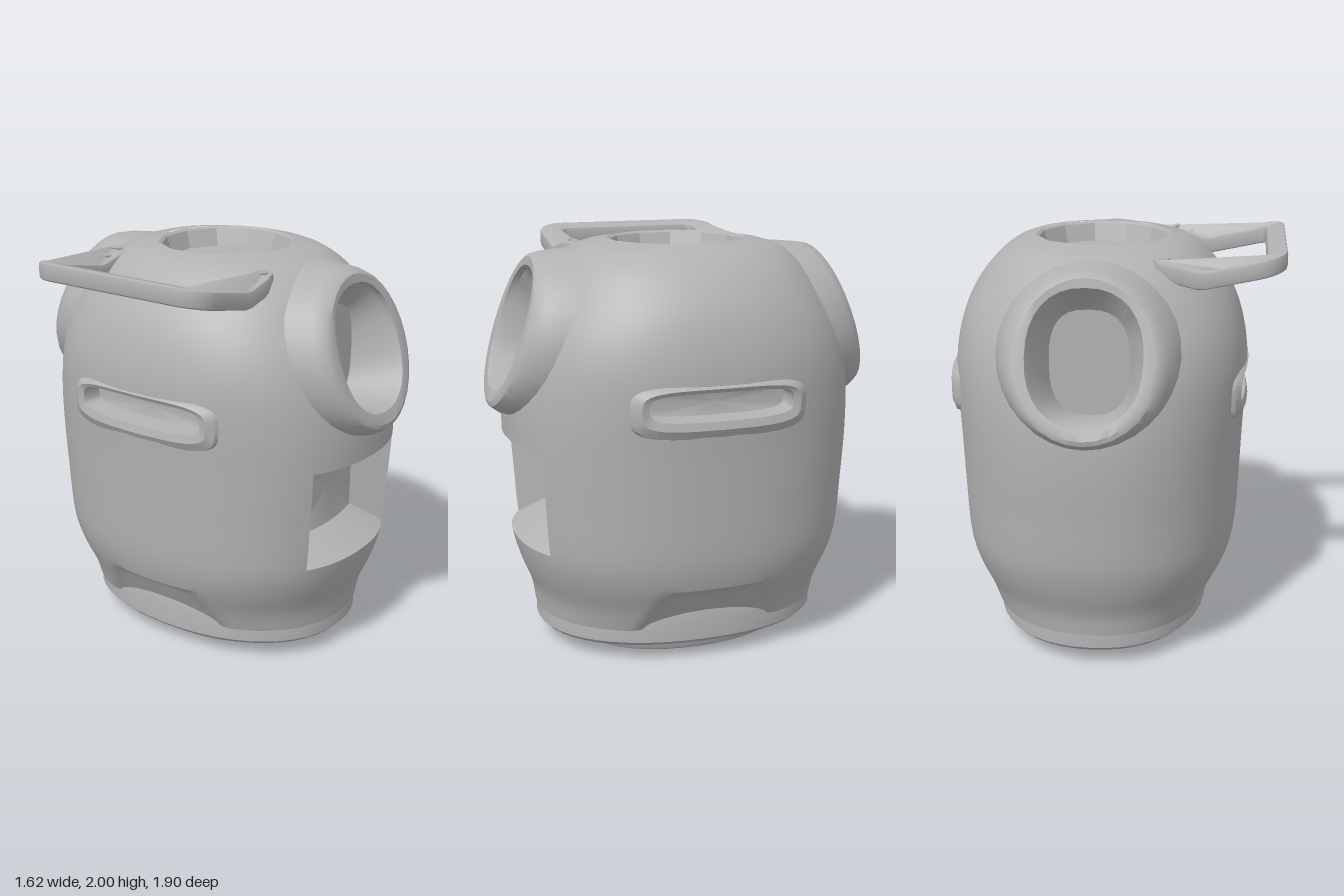
import * as THREE from 'three';
import { toCreasedNormals } from 'three/addons/utils/BufferGeometryUtils.js';

const SEG = 112, WIN = 9; // body segments, half width of the window in segments
const CX = 0.075; // the body sits slightly to the left of the handle side

// Skin closed rings of points; skip() leaves openings, cap closes the last ring.
function loft(rings, { cap = false, skip = null, crease = 0.6 } = {}) {
  const n = rings[0].length, pos = [], index = [];
  rings.forEach(r => r.forEach(p => pos.push(p.x, p.y, p.z)));
  const mid = new THREE.Vector3();
  for (let j = 0; j < rings.length - 1; j++) {
    for (let i = 0; i < n; i++) {
      const k = (i + 1) % n, a = j * n + i, b = j * n + k;
      mid.copy(rings[j][i]).add(rings[j][k]).add(rings[j + 1][i]).add(rings[j + 1][k]).divideScalar(4);
      if (skip && skip(mid, i)) continue;
      index.push(a, b, b + n, a, b + n, a + n);
    }
  }
  if (cap) {
    const last = rings[rings.length - 1], c = new THREE.Vector3(), base = (rings.length - 1) * n;
    last.forEach(p => c.add(p));
    c.divideScalar(n);
    pos.push(c.x, c.y, c.z);
    for (let i = 0; i < n; i++) index.push(base + i, base + (i + 1) % n, rings.length * n);
  }
  const g = new THREE.BufferGeometry();
  g.setAttribute('position', new THREE.Float32BufferAttribute(pos, 3));
  g.setIndex(index);
  return toCreasedNormals(g, crease);
}

// Superellipse coordinates
const power = (v, n) => Math.sign(v) * Math.pow(Math.abs(v), 2 / n);
function oval(count, hx, hy, n, place) {
  return Array.from({ length: count }, (_, i) => {
    const t = i / count * Math.PI * 2;
    return place(hx * power(Math.cos(t), n), hy * power(Math.sin(t), n));
  });
}

// Body profile: height, half width, half depth, roundness, rows up to the next key
const KEYS = [
  [0.17, 0.555, 0.725, 2.2, 3], [0.27, 0.595, 0.74, 2.2, 4], [0.4, 0.65, 0.79, 2.25, 3],
  [0.5, 0.675, 0.82, 2.3, 1], [0.55, 0.682, 0.83, 2.3, 8], [0.8, 0.695, 0.85, 2.3, 8],
  [1.06, 0.705, 0.865, 2.3, 6], [1.25, 0.715, 0.86, 2.3, 6], [1.45, 0.715, 0.83, 2.3, 5],
  [1.6, 0.688, 0.78, 2.3, 4], [1.72, 0.645, 0.72, 2.25, 4], [1.82, 0.585, 0.66, 2.2, 4],
  [1.9, 0.515, 0.59, 2.2, 3], [1.95, 0.455, 0.525, 2.1, 2], [1.98, 0.395, 0.44, 2.1, 1],
  [1.993, 0.335, 0.345, 2, 1],
];
const profile = new THREE.CubicInterpolant(KEYS.map(k => k[0]), KEYS.flatMap(k => k.slice(1, 4)), 3);
const rows = KEYS.flatMap((k, j) => Array.from({ length: k[4] }, (_, s) => {
  const top = KEYS[Math.min(j + 1, KEYS.length - 1)][0];
  const y = THREE.MathUtils.lerp(k[0], top, s / k[4]);
  return [y, ...profile.evaluate(y)];
}));

function bodyPoint(i, [y, rx, rz, n]) {
  const t = i / SEG * Math.PI * 2;
  let x = rx * power(Math.sin(t), n);
  const z = rz * power(Math.cos(t), n);
  if (y < 0.4) { // arched notches at the foot of both sides
    const s = THREE.MathUtils.smoothstep(0.27 + 0.5 * (0.4 - y) - Math.abs(z), 0, 0.08);
    const inner = Math.min(Math.abs(x), 0.5 + 0.55 * (y - 0.2));
    x = Math.sign(x) * THREE.MathUtils.lerp(Math.abs(x), inner, s);
  }
  return new THREE.Vector3(x, y, z);
}

function bodyGeometry() {
  const rings = [[0.17, 0.47, 0.64, 2.2], ...rows].map(r =>
    Array.from({ length: SEG }, (_, i) => bodyPoint(i, r)));
  return loft(rings, {
    skip: (p, i) => {
      const inWindow = (i < WIN || i >= SEG - WIN) && p.y > 0.55 && p.y < 1.06;
      const inPort = Math.hypot(p.x / 0.32, (p.y - 1.575) / 0.33) < 1 && Math.abs(p.z) > 0.3;
      const inSlot = Math.abs(p.z) < 0.36 && Math.abs(p.y - 1.305) < 0.08;
      return inWindow || inPort || inSlot;
    },
  });
}

// Rectangular pocket whose mouth follows the body
function windowGeometry() {
  const span = rows.filter(r => r[0] > 0.549 && r[0] < 1.061);
  const low = span[0], high = span[span.length - 1], cells = [];
  for (let i = -WIN; i < WIN; i++) cells.push([i, low]);
  for (let j = 0; j < span.length - 1; j++) cells.push([WIN, span[j]]);
  for (let i = WIN; i > -WIN; i--) cells.push([i, high]);
  for (let j = span.length - 1; j > 0; j--) cells.push([-WIN, span[j]]);
  const mouth = cells.map(([i, r]) => bodyPoint(i, r));
  const floor = cells.map(([i, r]) => new THREE.Vector3(
    0.245 * i / WIN, THREE.MathUtils.mapLinear(r[0], 0.55, 1.06, 0.65, 1.02), 0.64 - 0.03 * (i / WIN) ** 2));
  return loft([mouth, floor], { cap: true, crease: 0.4 });
}

// Flared oval port with a tilted rim and a closed floor
function portGeometry() {
  const ring = (hx, hy, cy, offset, n = 2) => oval(32, hx, hy, n, (x, y) =>
    new THREE.Vector3(x, cy + y, 0.95 - (cy + y - 1.24) * 0.33 + offset));
  return loft([
    ring(0.46, 0.42, 1.55, -0.3), ring(0.42, 0.4, 1.56, -0.16), ring(0.385, 0.38, 1.57, -0.06),
    ring(0.345, 0.36, 1.58, -0.012), ring(0.315, 0.342, 1.585, 0), ring(0.265, 0.295, 1.59, -0.006, 2.3),
    ring(0.25, 0.28, 1.59, -0.04, 2.7),
    oval(32, 0.187, 0.25, 2.7, (x, y) => new THREE.Vector3(x, 1.51 + y, 0.62)),
  ], { cap: true });
}

// Long side slot with a low raised lip
function slotGeometry(reach) {
  const ring = (hx, hy, cy, offset) => oval(40, hx, hy, 4, (x, y) =>
    new THREE.Vector3(x, cy + y, reach + offset - 0.2 * x * x));
  return loft([
    ring(0.45, 0.15, 1.285, -0.1), ring(0.42, 0.125, 1.285, -0.02), ring(0.385, 0.095, 1.295, 0),
    ring(0.35, 0.067, 1.305, -0.01), ring(0.34, 0.058, 1.305, -0.11),
  ], { cap: true });
}

// Stepped base, built downwards, with a rectangular recess underneath
function baseGeometry() {
  const ring = (y, rx, rz, n = 2.2) => oval(48, rx, rz, n, (x, z) => new THREE.Vector3(x, y, z));
  return loft([
    ring(0.29, 0.43, 0.6), ring(0.25, 0.525, 0.71), ring(0.2, 0.535, 0.72), ring(0.1, 0.535, 0.72),
    ring(0.08, 0.515, 0.7), ring(0.075, 0.44, 0.57), ring(0.05, 0.44, 0.56), ring(0.015, 0.425, 0.54),
    ring(0, 0.4, 0.51), ring(0.005, 0.28, 0.36, 5), ring(0.13, 0.25, 0.33, 5),
  ], { cap: true });
}

// Twelve-sided recess in the lid
function topRecessGeometry() {
  const ring = (y, r) => Array.from({ length: 12 }, (_, i) => {
    const t = (i + 0.5) / 12 * Math.PI * 2;
    return new THREE.Vector3(r * Math.sin(t), y, r * Math.cos(t));
  });
  return loft([ring(1.985, 0.37), ring(1.995, 0.335), ring(1.985, 0.32), ring(1.9, 0.29)], { cap: true, crease: 0.3 });
}

// Height of the handle's middle: it dips over the shoulder and rises outwards
const handleY = x => x > -0.42
  ? THREE.MathUtils.mapLinear(x, -0.42, -0.2, 1.868, 1.92)
  : THREE.MathUtils.mapLinear(x, -0.42, -0.81, 1.868, 1.952);

// U-shaped flat bar, extruded in plan and bent to the height curve
function handleGeometry() {
  const side = (tip, z, r, cz) => {
    const points = tip.slice();
    for (let x = -0.28; x > -0.67; x -= 0.04) points.push([x, z]);
    for (let k = 0; k <= 6; k++) {
      const t = k / 6 * Math.PI / 2;
      points.push([-0.68 - r * Math.sin(t), cz + r * Math.cos(t)]);
    }
    return points;
  };
  const mirror = points => points.map(([x, z]) => [x, -z]);
  const outer = side([[-0.21, 0.43], [-0.225, 0.465]], 0.48, 0.12, 0.36);
  const inner = side([[-0.225, 0.395]], 0.38, 0.05, 0.33);
  const outline = [...outer, ...mirror(outer).reverse(), ...mirror(inner), ...inner.slice().reverse()];
  const g = new THREE.ExtrudeGeometry(new THREE.Shape(outline.map(p => new THREE.Vector2(...p))), {
    depth: 0.05, bevelSize: 0.012, bevelThickness: 0.018, bevelSegments: 2,
  });
  g.translate(0, 0, -0.025).rotateX(Math.PI / 2);
  const p = g.attributes.position;
  for (let i = 0; i < p.count; i++) p.setY(i, p.getY(i) + handleY(p.getX(i)));
  return toCreasedNormals(g, 0.6);
}

export function createModel() {
  const model = new THREE.Group();
  model.name = 'vessel';
  const grey = new THREE.MeshStandardMaterial({ color: 0xb2b2b2 });
  grey.name = 'plain grey';
  const add = (parent, name, geometry, turn = 0) => {
    const mesh = new THREE.Mesh(geometry, grey);
    mesh.name = name;
    mesh.rotation.y = turn;
    parent.add(mesh);
    return mesh;
  };

  const vessel = new THREE.Group();
  vessel.name = 'vesselBody';
  vessel.position.x = CX;
  model.add(vessel);
  add(vessel, 'shell', bodyGeometry());
  add(vessel, 'windowPocket', windowGeometry());
  add(vessel, 'frontPort', portGeometry());
  add(vessel, 'backPort', portGeometry(), Math.PI);
  add(vessel, 'leftSlot', slotGeometry(0.73), Math.PI / 2);
  add(vessel, 'rightSlot', slotGeometry(0.725), -Math.PI / 2);
  add(vessel, 'base', baseGeometry());
  add(vessel, 'topRecess', topRecessGeometry());

  // Carrying handle with two screws at each end
  const handle = new THREE.Group();
  handle.name = 'handle';
  model.add(handle);
  add(handle, 'handleBar', handleGeometry());
  for (const z of [0.43, -0.43]) {
    for (const x of [-0.335, -0.245]) {
      const screw = add(handle, 'screwRing', new THREE.TorusGeometry(0.024, 0.008, 6, 12));
      screw.rotation.set(-Math.PI / 2, 0.23, 0);
      screw.position.set(x, handleY(x) + 0.044, z);
    }
  }
  return model;
}
